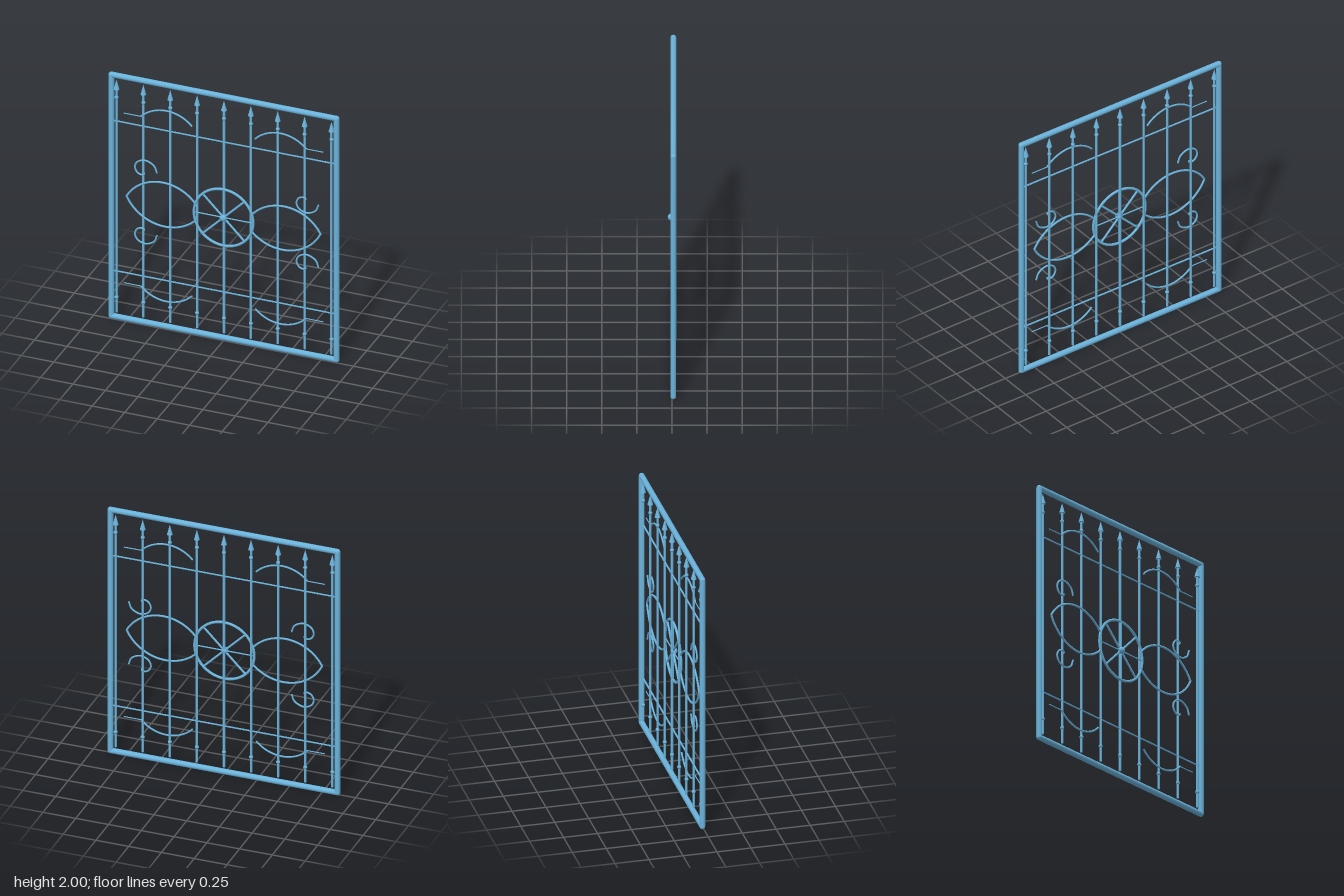
import * as THREE from 'three';

const blue = new THREE.MeshStandardMaterial({ color: 0x6ab2da, side: THREE.DoubleSide });
blue.name = 'blue paint';
const Z = -0.009; // plane of the frame and bars
const FRONT = -0.001; // plane of the ornaments
const MID = 1; // height of the wheel centre

export function createModel() {
  const model = new THREE.Group();
  model.name = 'windowGrille';

  const add = (name, geometry, x = 0, y = 0, z = Z) => {
    const mesh = new THREE.Mesh(geometry, blue);
    mesh.name = name;
    mesh.position.set(x, y, z);
    model.add(mesh);
    return mesh;
  };
  // straight round rod between two points
  const rod = (name, x1, y1, x2, y2, r, z = Z) => {
    const length = Math.hypot(x2 - x1, y2 - y1);
    const mesh = add(name, new THREE.CylinderGeometry(r, r, length, 20), (x1 + x2) / 2, (y1 + y2) / 2, z);
    mesh.rotation.z = Math.atan2(y2 - y1, x2 - x1) - Math.PI / 2;
  };
  // bent rod through points
  const bent = (name, points, r) => {
    const curve = new THREE.CatmullRomCurve3(points.map(([x, y]) => new THREE.Vector3(x, y, 0)));
    add(name, new THREE.TubeGeometry(curve, 48, r, 8), 0, 0, FRONT);
  };
  // points on the circle through a start, a middle and an end
  const arc = ([ax, ay], [bx, by], [cx, cy]) => {
    const d = 2 * (ax * (by - cy) + bx * (cy - ay) + cx * (ay - by));
    const a2 = ax * ax + ay * ay, b2 = bx * bx + by * by, c2 = cx * cx + cy * cy;
    const ox = (a2 * (by - cy) + b2 * (cy - ay) + c2 * (ay - by)) / d;
    const oy = (a2 * (cx - bx) + b2 * (ax - cx) + c2 * (bx - ax)) / d;
    const start = Math.atan2(ay - oy, ax - ox);
    let sweep = Math.atan2(cy - oy, cx - ox) - start;
    if (sweep > Math.PI) sweep -= 2 * Math.PI;
    if (sweep < -Math.PI) sweep += 2 * Math.PI;
    const R = Math.hypot(ax - ox, ay - oy);
    return Array.from({ length: 17 }, (_, i) => {
      const t = start + (sweep * i) / 16;
      return [ox + R * Math.cos(t), oy + R * Math.sin(t)];
    });
  };

  // outer frame with rounded corners
  const W = 0.866, LOW = 0.021, HIGH = 1.979, R = 0.021;
  for (const y of [LOW, HIGH]) {
    rod('frameRail', -W, y, W, y, R);
    for (const x of [-W, W]) add('frameCorner', new THREE.SphereGeometry(R, 24, 16), x, y);
  }
  for (const x of [-W, W]) rod('framePost', x, LOW, x, HIGH, R);

  // upright bars with spear tips and beads
  for (let i = -4; i <= 4; i++) {
    const x = i * 0.2067;
    rod('bar', x, 0.058, x, 1.875, 0.009);
    add('spearTip', new THREE.ConeGeometry(0.021, 0.08, 16), x, 1.907);
    for (const y of [0.179, 1.801]) add('bead', new THREE.SphereGeometry(0.015, 16, 10), x, y);
  }

  // thin cross rails
  for (const y of [0.391, 1.609]) add('crossRail', new THREE.BoxGeometry(2 * W, 0.006, 0.012), 0, y);

  // bows with straight tails near the four corners
  for (const s of [-1, 1]) {
    for (const v of [-1, 1]) {
      const y = MID + v * 0.689;
      bent('bow', arc([s * 0.635, y], [s * 0.439, y + v * 0.085], [s * 0.243, y]), 0.007);
      rod('bowTail', s * 0.632, y, s * 0.767, y, 0.004, FRONT);
    }
  }

  // central wheel with spokes and hub
  add('wheelRim', new THREE.TorusGeometry(0.228, 0.01, 12, 64), 0, MID, FRONT);
  for (let i = 0; i < 4; i++) {
    const c = 0.225 * Math.cos((i * Math.PI) / 4), s = 0.225 * Math.sin((i * Math.PI) / 4);
    rod('spoke', -c, MID - s, c, MID + s, i === 0 ? 0.005 : 0.008, FRONT);
  }
  add('hub', new THREE.SphereGeometry(0.026, 24, 16), 0, MID, 0.005);

  // pointed leaves on both sides of the wheel
  for (const s of [-1, 1]) {
    bent('leafTop', arc([s * 0.746, 1.02], [s * 0.463, 1.186], [s * 0.209, 1.056]), 0.008);
    bent('leafBottom', arc([s * 0.746, 1.02], [s * 0.463, 0.832], [s * 0.209, 0.938]), 0.008);
  }

  // small scrolls, heights measured from the wheel centre
  const scroll = [[-0.513, 0.254], [-0.535, 0.307], [-0.603, 0.338], [-0.664, 0.314], [-0.682, 0.27],
    [-0.664, 0.23], [-0.63, 0.217], [-0.608, 0.227], [-0.616, 0.236]];
  for (const v of [-1, 1]) {
    bent('leftScroll', scroll.map(([x, y]) => [x, MID + v * y]), 0.007);
    bent('rightScroll', scroll.map(([x, y]) => [x + 1.243, MID + v * (0.508 - y)]), 0.007);
  }
  return model;
}
